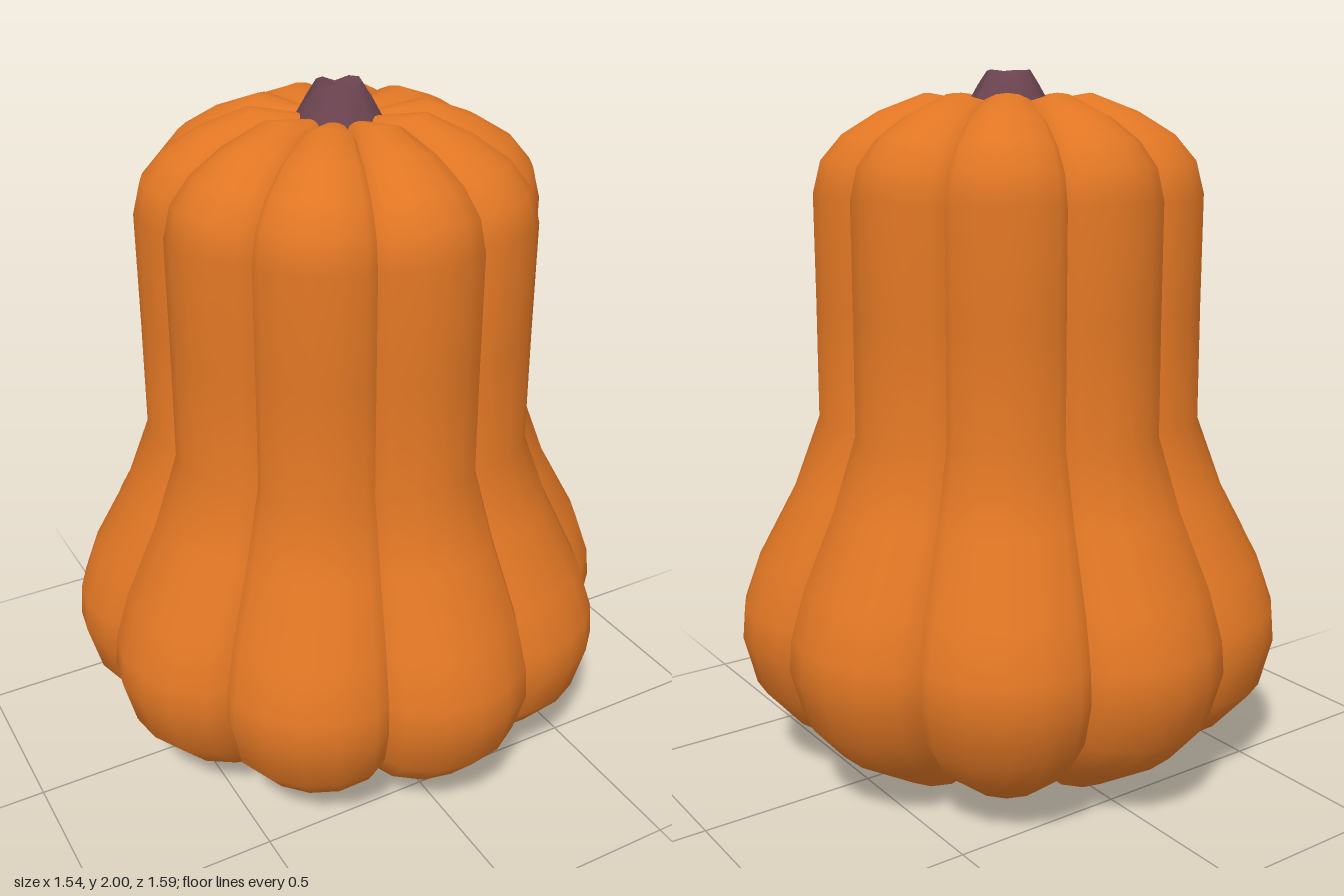
import * as THREE from 'three';

const LOBES = 10;
const HALF = Math.PI / LOBES;

// Paired profiles from base to top: [ridge radius, ridge y, crease radius, crease y]
const PROFILE = [
  [0.0, 0.05, 0.0, 0.05],
  [0.14, 0.022, 0.13, 0.045],
  [0.31, 0.005, 0.28, 0.03],
  [0.45, 0.03, 0.40, 0.06],
  [0.66, 0.165, 0.58, 0.19],
  [0.76, 0.28, 0.67, 0.29],
  [0.795, 0.42, 0.714, 0.42],
  [0.787, 0.51, 0.705, 0.51],
  [0.74, 0.64, 0.665, 0.64],
  [0.63, 0.84, 0.575, 0.84],
  [0.555, 1.04, 0.50, 1.04],
  [0.553, 1.36, 0.497, 1.36],
  [0.553, 1.67, 0.497, 1.66],
  [0.53, 1.76, 0.475, 1.74],
  [0.47, 1.83, 0.42, 1.805],
  [0.37, 1.89, 0.33, 1.865],
  [0.24, 1.938, 0.22, 1.905],
  [0.10, 1.915, 0.10, 1.90],
  [0.0, 1.88, 0.0, 1.88],
];

// Across one lobe: [fraction of the half angle, bulge from crease to ridge]
const ACROSS = [[-1, 0], [-0.82, 0.5], [-0.4, 0.89], [0, 1], [0.4, 0.89], [0.82, 0.5], [1, 0]];

// Grid surface with outward faces; rows run upward, columns turn from +x to +z
function gridGeometry(rows, cols, point) {
  const pos = [], index = [];
  for (let i = 0; i < rows; i++)
    for (let j = 0; j < cols; j++) pos.push(...point(i, j));
  for (let i = 0; i < rows - 1; i++)
    for (let j = 0; j < cols - 1; j++) {
      const a = i * cols + j, b = a + cols;
      index.push(a, b, a + 1, b, b + 1, a + 1);
    }
  const g = new THREE.BufferGeometry();
  g.setAttribute('position', new THREE.Float32BufferAttribute(pos, 3));
  g.setIndex(index);
  g.computeVertexNormals();
  return g;
}

export function createModel() {
  const model = new THREE.Group();
  model.name = 'gourd';
  const skin = new THREE.MeshStandardMaterial({ color: 0xe07624 });
  skin.name = 'orange skin';
  const stalk = new THREE.MeshStandardMaterial({ color: 0x6a434f });
  stalk.name = 'purple stem';

  // Ribbed body: one smooth lobe repeated, with sharp creases between
  const lobeGeometry = gridGeometry(PROFILE.length, ACROSS.length, (i, j) => {
    const [rr, ry, cr, cy] = PROFILE[i];
    const [f, bulge] = ACROSS[j];
    const r = cr + (rr - cr) * bulge, y = cy + (ry - cy) * bulge, a = f * HALF;
    return [r * Math.cos(a), y, r * Math.sin(a)];
  });
  const body = new THREE.Group();
  body.name = 'body';
  for (let k = 0; k < LOBES; k++) {
    const lobe = new THREE.Mesh(lobeGeometry, skin);
    lobe.name = 'lobe' + (k + 1);
    lobe.rotation.y = (2 * k + 1) * HALF;
    body.add(lobe);
  }
  model.add(body);

  // Tapered stem with a shallow valley across its cut top
  const topY = (x) => Math.min(2, 1.98 + 0.5 * Math.abs(x - 0.015));
  const side = gridGeometry(3, LOBES + 1, (i, j) => {
    const a = 2 * HALF * j, r = [0.125, 0.085, 0.06][i];
    const x = r * Math.cos(a);
    return [x, i === 2 ? topY(x) : [1.89, 1.96][i], r * Math.sin(a)];
  });
  const cap = gridGeometry(2, LOBES + 1, (i, j) => {
    const a = 2 * HALF * j, r = i ? 0 : 0.06;
    const x = r * Math.cos(a);
    return [x, i ? 1.975 : topY(x), r * Math.sin(a)];
  });
  const stem = new THREE.Group();
  stem.name = 'stem';
  for (const [name, g] of [['stemSide', side], ['stemTop', cap]]) {
    const mesh = new THREE.Mesh(g, stalk);
    mesh.name = name;
    stem.add(mesh);
  }
  model.add(stem);
  return model;
}
